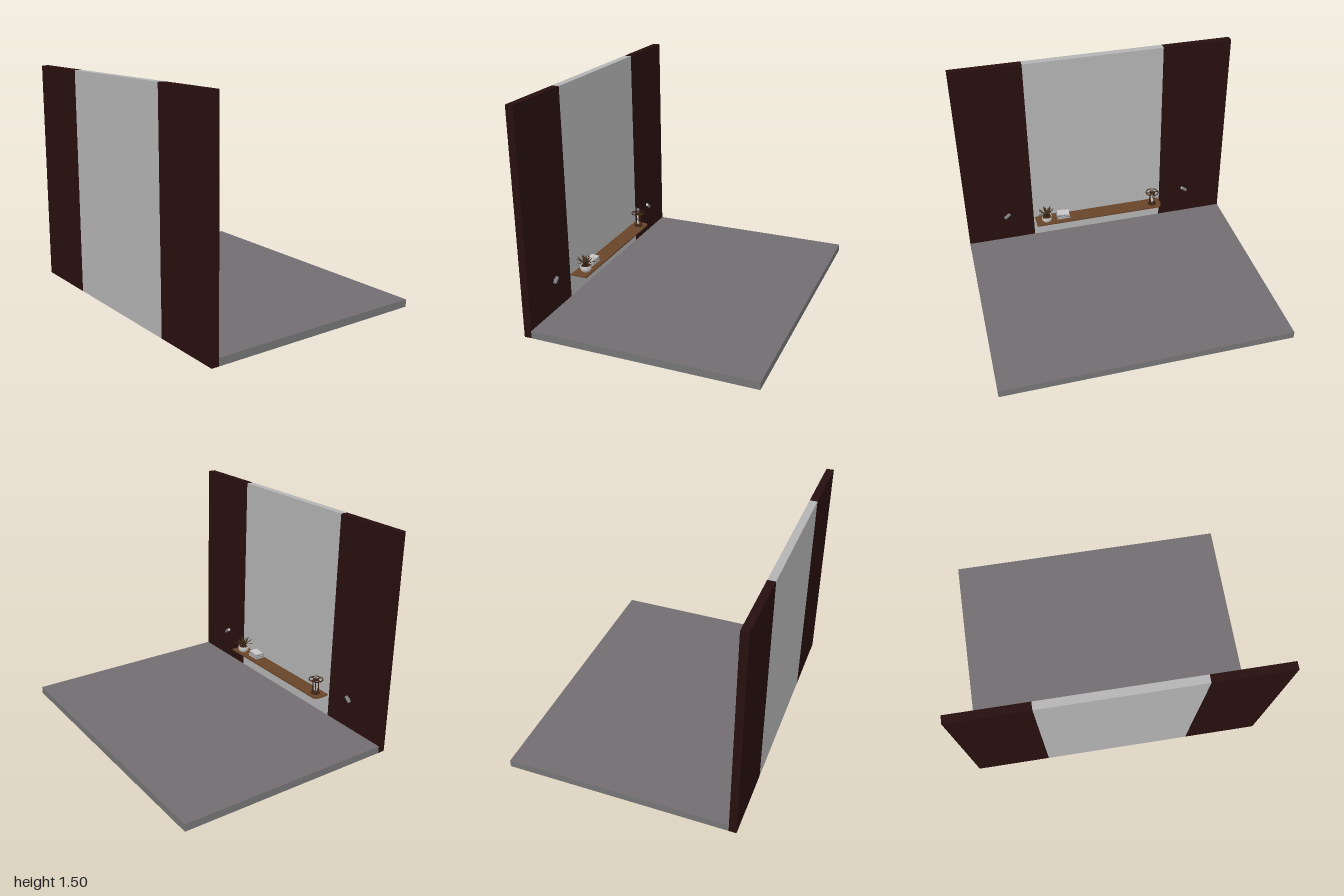
import * as THREE from 'three';

const mat = (name, color, side = THREE.FrontSide) => {
  const m = new THREE.MeshStandardMaterial({ color, side });
  m.name = name;
  return m;
};

export function createModel() {
  const paint = mat('pale wall paint', 0xb4b4b4);
  const maroon = mat('dark maroon panel', 0x270f0e);
  const slab = mat('floor slab grey', 0x757575);
  const tile = mat('floor surface grey', 0x716d71);
  const wood = mat('shelf wood', 0x684529);
  const darkWood = mat('dark wood', 0x3c2414);
  const leafGreen = mat('olive leaf', 0x35301a, THREE.DoubleSide);
  const leafRed = mat('russet leaf', 0x4a2716, THREE.DoubleSide);
  const white = mat('white ceramic and paper', 0xc8c8c8, THREE.DoubleSide);
  const metal = mat('grey metal', 0x7c7c7c);

  const root = new THREE.Group();
  root.name = 'shelfRoom';

  const add = (parent, name, geo, material, x = 0, y = 0, z = 0) => {
    const m = new THREE.Mesh(geo, material);
    m.name = name;
    m.position.set(x, y, z);
    parent.add(m);
    return m;
  };
  const group = (name, x, y, z) => {
    const g = new THREE.Group();
    g.name = name;
    g.position.set(x, y, z);
    root.add(g);
    return g;
  };
  const cyl = (rt, rb, h, n = 24) => new THREE.CylinderGeometry(rt, rb, h, n);

  // Floor and three wall panels
  add(root, 'floor', new THREE.BoxGeometry(1.5, 0.05, 2), [slab, slab, tile, slab, slab, slab], 0.025, 0.025, 0);
  add(root, 'centreWall', new THREE.BoxGeometry(0.05, 1.5, 1), paint, -0.75, 0.75, 0);
  for (const s of [-1, 1])
    add(root, 'sidePanel', new THREE.BoxGeometry(0.05, 1.5, 0.5), maroon, -0.75, 0.75, s * 0.75);

  // Shelf board with a softened far end
  const board = new THREE.Shape();
  board.moveTo(-0.725, -0.49);
  board.lineTo(-0.61, -0.49);
  board.lineTo(-0.61, 0.465);
  board.quadraticCurveTo(-0.615, 0.483, -0.63, 0.487);
  board.quadraticCurveTo(-0.67, 0.497, -0.725, 0.487);
  const boardGeo = new THREE.ExtrudeGeometry(board, { depth: 0.01, bevelEnabled: false });
  boardGeo.rotateX(-Math.PI / 2);
  add(root, 'shelf', boardGeo, wood, 0, 0.2, 0);

  // Spotlights on the side panels, aimed up and inward
  for (const s of [-1, 1]) {
    const lamp = group('wallLamp', -0.71, 0.267, s * 0.7);
    add(lamp, 'lampMount', cyl(0.007, 0.007, 0.02, 12), metal, -0.008).rotation.z = Math.PI / 2;
    const body = new THREE.Group();
    body.name = 'lampBody';
    body.rotation.x = -s * 0.9;
    lamp.add(body);
    add(body, 'lampHousing', cyl(0.012, 0.012, 0.046, 20), metal);
    add(body, 'lampLens', cyl(0.009, 0.009, 0.003, 20), white, 0, 0.0225, 0);
  }

  // Potted plant
  const plant = group('pottedPlant', -0.655, 0.21, 0.41);
  const potProfile = [[0, 0], [0.024, 0], [0.034, 0.01], [0.039, 0.025], [0.038, 0.042], [0.034, 0.045], [0.033, 0.038]]
    .map(([x, y]) => new THREE.Vector2(x, y));
  add(plant, 'pot', new THREE.LatheGeometry(potProfile, 28), white);
  add(plant, 'soil', cyl(0.034, 0.034, 0.004), darkWood, 0, 0.037, 0);

  // One tapered leaf that arches outward along +x
  const leafGeometry = (reach, rise, droop, width) => {
    const g = new THREE.PlaneGeometry(1, 1, 6, 2);
    const p = g.attributes.position;
    for (let i = 0; i < p.count; i++) {
      const t = p.getX(i) + 0.5;
      const v = p.getY(i) * 2;
      const w = width * Math.sqrt(t + 0.15) * (1 - t * t);
      const y = 0.037 + rise * t - droop * t * t + Math.abs(v) * w * 0.4;
      p.setXYZ(i, 0.006 + reach * t, y, v * w);
    }
    g.computeVertexNormals();
    return g;
  };
  for (let i = 0; i < 30; i++) {
    const ring = i % 3;
    const vary = (i * 7 % 10) / 10;
    const leaf = add(plant, 'leaf', leafGeometry(
      [0.022, 0.048, 0.064][ring] + vary * 0.012,
      [0.06, 0.085, 0.075][ring] + vary * 0.012,
      [0, 0.028, 0.05][ring], 0.007), i % 2 ? leafRed : leafGreen);
    leaf.rotation.y = i * 2.4;
  }

  // Stack of books, each turned a little
  const books = group('bookStack', -0.68, 0.21, 0.28);
  [[0.07, 0.1, 0], [0.066, 0.094, 0.12], [0.062, 0.09, -0.1]].forEach(([w, d, turn], i) => {
    const book = new THREE.Group();
    book.name = 'book';
    book.position.y = i * 0.0135;
    book.rotation.y = turn;
    books.add(book);
    add(book, 'pages', new THREE.BoxGeometry(w - 0.004, 0.009, d - 0.004), white, 0, 0.0065, 0);
    for (const y of [0.001, 0.012])
      add(book, 'cover', new THREE.BoxGeometry(w, 0.002, d), y > 0.01 && i === 2 ? white : metal, 0, y, 0);
    add(book, 'spine', new THREE.BoxGeometry(0.002, 0.013, d), metal, -w / 2, 0.0065, 0);
  });

  // Ornament: hourglass frame carrying a ring and a ball
  const ornament = group('ornament', -0.665, 0.21, -0.425);
  add(ornament, 'base', cyl(0.03, 0.032, 0.008), darkWood, 0, 0.004, 0);
  add(ornament, 'cap', cyl(0.022, 0.022, 0.006), darkWood, 0, 0.1, 0);
  for (let i = 0; i < 4; i++) {
    const a = i * Math.PI / 2 + Math.PI / 4;
    add(ornament, 'post', cyl(0.0035, 0.0035, 0.092, 10), darkWood,
      Math.cos(a) * 0.02, 0.053, Math.sin(a) * 0.02);
  }
  const glass = [[0.003, 0.012], [0.011, 0.02], [0.011, 0.04], [0.003, 0.053], [0.011, 0.067], [0.011, 0.086], [0.003, 0.096]]
    .map(([x, y]) => new THREE.Vector2(x, y));
  add(ornament, 'hourglass', new THREE.LatheGeometry(glass, 20), white);
  add(ornament, 'ring', new THREE.TorusGeometry(0.047, 0.0035, 8, 40), darkWood, 0, 0.105, 0).rotation.x = Math.PI / 2;
  for (const r of [0, Math.PI / 2])
    add(ornament, 'spoke', new THREE.BoxGeometry(0.094, 0.004, 0.006), darkWood, 0, 0.105, 0).rotation.y = r;
  add(ornament, 'stem', cyl(0.003, 0.003, 0.025, 10), metal, 0, 0.117, 0);
  add(ornament, 'ball', new THREE.SphereGeometry(0.012, 20, 14), metal, 0, 0.132, 0);

  return root;
}
